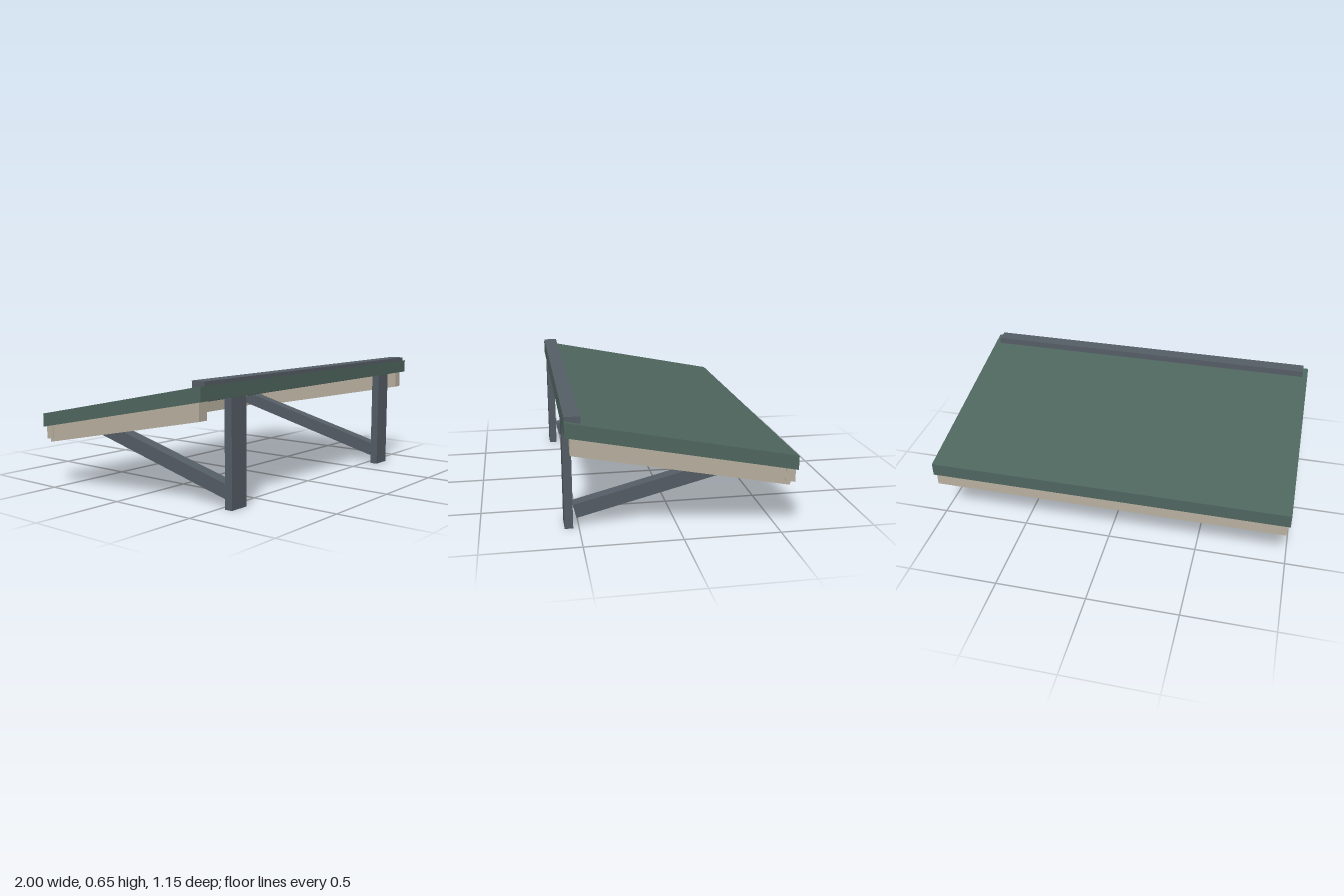
import * as THREE from 'three';

const SLOPE = 0.198;                                  // roof rise per unit of z
const under = (z) => 0.557 - SLOPE * (0.575 - z);     // height of the roof underside

const green = new THREE.MeshStandardMaterial({ color: 0x4f665f });
const cream = new THREE.MeshStandardMaterial({ color: 0xb9b1a0 });
const grey = new THREE.MeshStandardMaterial({ color: 0x555d66 });

export function createModel() {
  const group = new THREE.Group();

  const add = (name, geometry, material) => {
    const mesh = new THREE.Mesh(geometry, material);
    mesh.name = name;
    group.add(mesh);
    return mesh;
  };

  const box = (name, material, x0, x1, y0, y1, z0, z1) =>
    add(name, new THREE.BoxGeometry(x1 - x0, y1 - y0, z1 - z0), material)
      .position.set((x0 + x1) / 2, (y0 + y1) / 2, (z0 + z1) / 2);

  // Box sheared along the roof slope, with upright ends; y0 and y1 are offsets from the underside
  const slopedBox = (name, material, x0, x1, y0, y1, z0, z1) => {
    const g = new THREE.BoxGeometry(x1 - x0, y1 - y0, z1 - z0);
    g.translate((x0 + x1) / 2, (y0 + y1) / 2, (z0 + z1) / 2);
    const p = g.attributes.position;
    for (let i = 0; i < p.count; i++) p.setY(i, p.getY(i) + under(p.getZ(i)));
    g.computeVertexNormals();
    add(name, g, material);
  };

  // Roof panel, rail along its high edge, and board under its low edge
  slopedBox('roofPanel', green, -1, 1, 0, 0.073, -0.575, 0.575);
  box('topRail', grey, -0.97, 0.97, 0.6, 0.65, 0.495, 0.574);
  slopedBox('rearBoard', cream, -0.985, 0.985, -0.07, 0, -0.565, -0.515);

  // Brace line from the post foot up to the rear of the roof
  const low = new THREE.Vector3(0, 0.083, 0.519);
  const high = new THREE.Vector3(0, 0.337, -0.48);
  const length = low.distanceTo(high);
  const tilt = Math.atan2(high.y - low.y, low.z - high.z);

  for (const [side, s] of [['left', 1], ['right', -1]]) {
    // Sloping board under the roof end
    const xBoard = s * 0.954;
    slopedBox(side + 'SideBoard', cream, xBoard - 0.028, xBoard + 0.028, -0.09, 0, -0.54, 0.55);

    // Wall post and diagonal brace
    const xPost = s * 0.718;
    box(side + 'Post', grey, xPost - 0.057, xPost + 0.057, 0, 0.557, 0.53, 0.574);
    const brace = add(side + 'Brace', new THREE.BoxGeometry(0.07, 0.075, length), grey);
    brace.position.copy(low).add(high).multiplyScalar(0.5).setX(xPost);
    brace.rotation.x = tilt;
  }

  return group;
}
